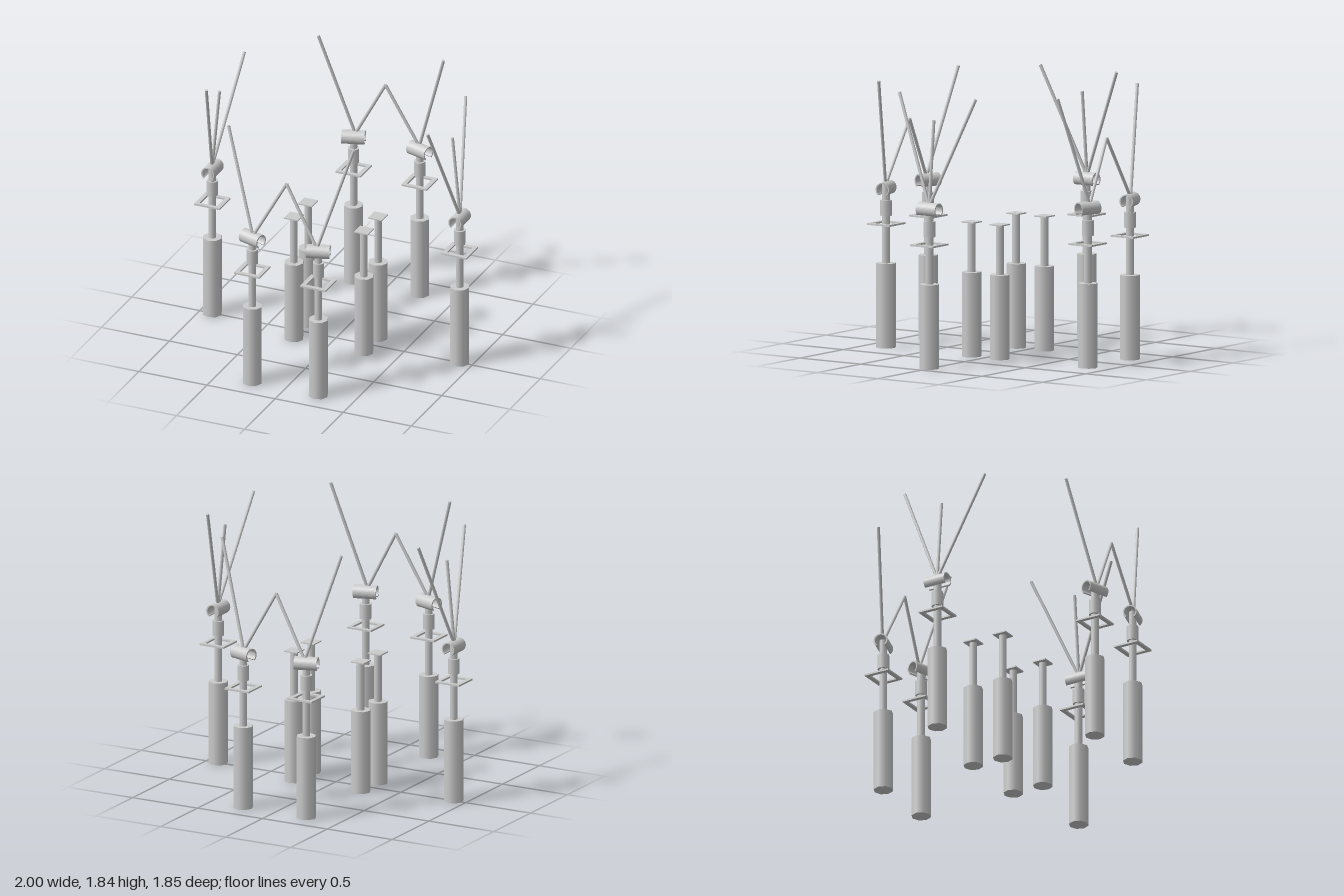
import * as THREE from 'three';

const grey = new THREE.MeshStandardMaterial({ color: 0xcccccc });

function add(parent, name, geometry, x = 0, y = 0, z = 0) {
  const mesh = new THREE.Mesh(geometry, grey);
  mesh.name = name;
  mesh.position.set(x, y, z);
  parent.add(mesh);
  return mesh;
}

// upright cylinder between two heights
function column(parent, name, radius, bottom, top, sides) {
  return add(parent, name, new THREE.CylinderGeometry(radius, radius, top - bottom, sides), 0, (bottom + top) / 2, 0);
}

// thin rod between two points
function rod(parent, name, from, to) {
  const a = new THREE.Vector3(...from), b = new THREE.Vector3(...to);
  const dir = b.clone().sub(a);
  const mesh = add(parent, name, new THREE.CylinderGeometry(0.011, 0.011, dir.length(), 8));
  mesh.position.copy(a).lerp(b, 0.5);
  mesh.quaternion.setFromUnitVectors(new THREE.Vector3(0, 1, 0), dir.normalize());
}

// flat square frame with a square opening
function frameGeometry() {
  const square = (S, h) => new S([[-h, -h], [h, -h], [h, h], [-h, h]].map(p => new THREE.Vector2(...p)));
  const shape = square(THREE.Shape, 0.0925);
  shape.holes.push(square(THREE.Path, 0.064));
  return new THREE.ExtrudeGeometry(shape, { depth: 0.012, bevelEnabled: false })
    .translate(0, 0, -0.006).rotateX(Math.PI / 2);
}

// split sleeve along x, open underneath
function sleeveGeometry() {
  const gap = 0.65, start = -Math.PI / 2 + gap, end = Math.PI * 1.5 - gap;
  const shape = new THREE.Shape();
  shape.absarc(0, 0, 0.048, start, end, false);
  shape.absarc(0, 0, 0.039, end, start, true);
  return new THREE.ExtrudeGeometry(shape, { depth: 0.158, bevelEnabled: false, curveSegments: 16 })
    .translate(0, 0, -0.079).rotateY(Math.PI / 2);
}

// tall stand: base, post, frame, collar and sleeve
function tallStand(x, z, yaw) {
  const stand = new THREE.Group();
  stand.name = 'tallStand';
  stand.position.set(x, 0, z);
  column(stand, 'base', 0.067, 0, 0.572, 8);
  column(stand, 'post', 0.027, 0.572, 1.105, 8);
  column(stand, 'collar', 0.041, 0.892, 0.997, 8);
  add(stand, 'squareFrame', frameGeometry(), 0, 0.838, 0);
  add(stand, 'sleeve', sleeveGeometry(), 0, 1.076, 0).rotation.y = yaw;
  return stand;
}

// short stand: base and post carrying a small plate
function shortStand(x, z) {
  const stand = new THREE.Group();
  stand.name = 'shortStand';
  stand.position.set(x, 0, z);
  column(stand, 'base', 0.067, 0, 0.572, 8);
  column(stand, 'post', 0.027, 0.572, 0.91, 8);
  add(stand, 'plate', new THREE.BoxGeometry(0.1, 0.008, 0.1), 0, 0.91, 0);
  return stand;
}

export function createModel() {
  const model = new THREE.Group();
  model.name = 'standRing';
  for (const sx of [-1, 1]) {
    // side stands with three rods fanning out and leaning inward
    model.add(tallStand(sx * 0.9075, 0, Math.PI / 2));
    for (const sz of [-1, 1]) {
      rod(model, 'longRod', [sx * 0.909, 1.11, sz * 0.005], [sx * 0.812, 1.835, sz * 0.314]);
    }
    rod(model, 'middleRod', [sx * 0.909, 1.11, 0], [sx * 0.855, 1.675, 0]);

    for (const sz of [-1, 1]) {
      // front and back pairs, inner rods meeting at the centre line
      model.add(tallStand(sx * 0.243, sz * 0.831, sx * sz * 0.3));
      rod(model, 'longRod', [sx * 0.238, 1.11, sz * 0.84], [sx * 0.46, 1.835, sz * 0.737]);
      rod(model, 'innerRod', [sx * 0.23, 1.11, sz * 0.84], [0, 1.525, sz * 0.812]);
      // short stands in the middle
      model.add(shortStand(sx * 0.257, sz * 0.116));
    }
  }
  return model;
}
